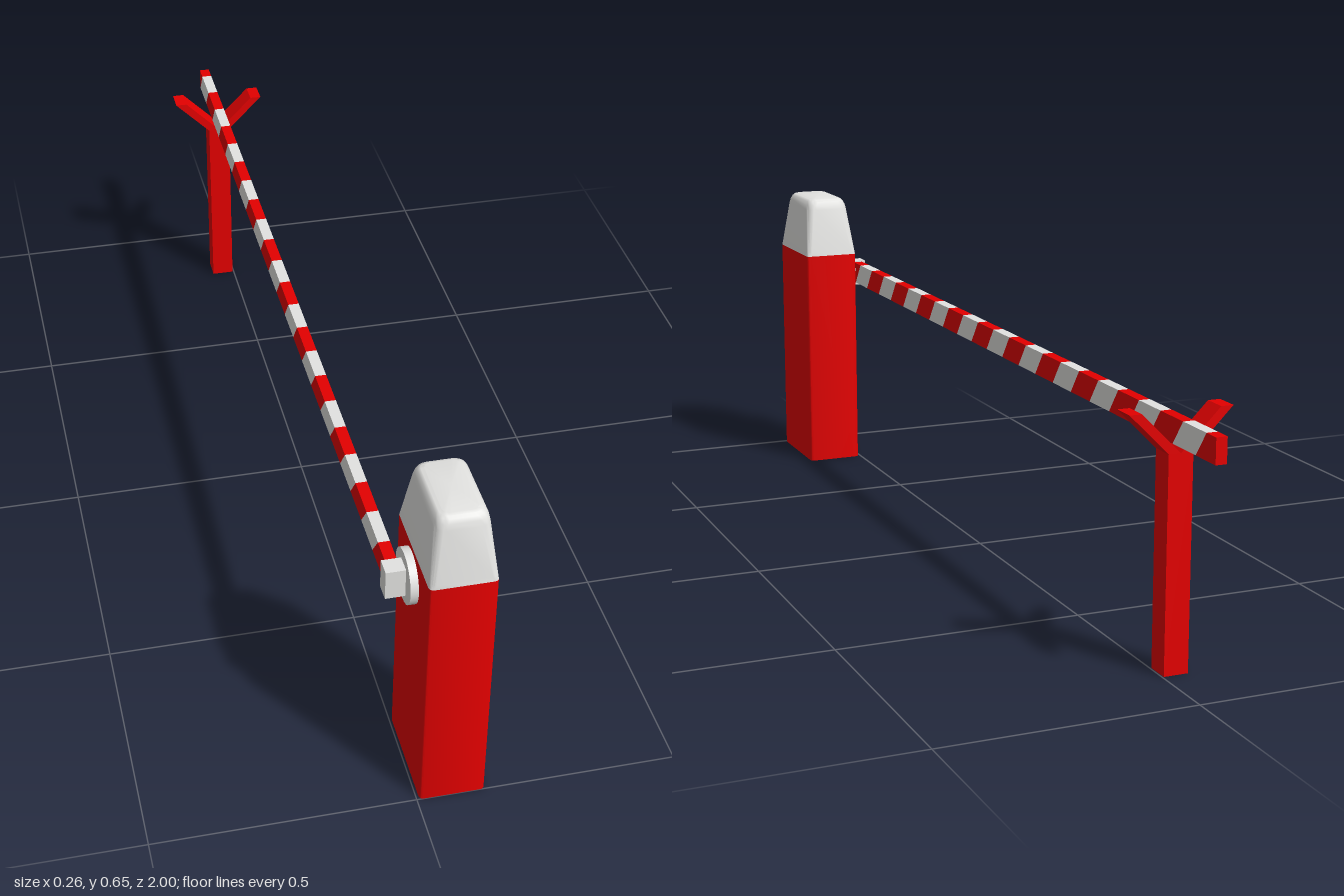
import * as THREE from 'three';
import { toCreasedNormals } from 'three/addons/utils/BufferGeometryUtils.js';

const red = new THREE.MeshStandardMaterial({ color: 0xe40000 });
red.name = 'signal red';
const grey = new THREE.MeshStandardMaterial({ color: 0xe3e3e1 });
grey.name = 'light grey';

// Outline of a rounded rectangle as [x, z] points
function roundedRect(hx, hz, r, steps = 5) {
  const pts = [];
  [[1, 1], [-1, 1], [-1, -1], [1, -1]].forEach(([sx, sz], q) => {
    for (let i = 0; i <= steps; i++) {
      const a = (q + i / steps) * Math.PI / 2;
      pts.push([sx * (hx - r) + r * Math.cos(a), sz * (hz - r) + r * Math.sin(a)]);
    }
  });
  return pts;
}

// Closed solid through rounded rectangles [y, halfX, halfZ, radius], bottom to top
function loft(sections) {
  const pos = [], idx = [];
  const rings = sections.map(([y, hx, hz, r]) => roundedRect(hx, hz, r).map(([x, z]) => [x, y, z]));
  const n = rings[0].length;
  rings.forEach(ring => ring.forEach(p => pos.push(...p)));
  for (let k = 0; k < rings.length - 1; k++) {
    for (let i = 0; i < n; i++) {
      const j = (i + 1) % n, a = k * n, b = a + n;
      idx.push(a + i, b + i, b + j, a + i, b + j, a + j);
    }
  }
  const last = (rings.length - 1) * n, c = rings.length * n;
  pos.push(0, sections[0][0], 0, 0, sections.at(-1)[0], 0);
  for (let i = 0; i < n; i++) {
    const j = (i + 1) % n;
    idx.push(c, i, j, c + 1, last + j, last + i);
  }
  const g = new THREE.BufferGeometry();
  g.setAttribute('position', new THREE.Float32BufferAttribute(pos, 3));
  g.setIndex(idx);
  return toCreasedNormals(g, 0.6);
}

export function createModel() {
  const model = new THREE.Group();
  model.name = 'barrierGate';
  const add = (name, geo, mat, x = 0, y = 0, z = 0, parent = model) => {
    const m = new THREE.Mesh(geo, mat);
    m.name = name;
    m.position.set(x, y, z);
    parent.add(m);
  };

  // Cabinet and its tapered hood
  const cx = 0.0675, cz = 0.893;
  add('cabinet', loft([[0, 0.0625, 0.107, 0.009], [0.515, 0.0625, 0.107, 0.009]]), red, cx, 0, cz);
  add('hood', loft([
    [0.515, 0.0625, 0.107, 0.009],
    [0.525, 0.0615, 0.106, 0.012],
    [0.625, 0.0505, 0.086, 0.02],
    [0.636, 0.048, 0.083, 0.02],
    [0.644, 0.044, 0.079, 0.019],
    [0.6485, 0.039, 0.074, 0.017],
    [0.65, 0.033, 0.068, 0.014],
  ]), grey, cx, 0, cz);

  // Pivot disc and the clamp that holds the boom
  const disc = new THREE.CylinderGeometry(0.052, 0.052, 0.016, 40).rotateZ(Math.PI / 2);
  add('pivotDisc', disc, grey, -0.002, 0.453, 0.886);
  add('boomClamp', new THREE.BoxGeometry(0.037, 0.06, 0.035), grey, -0.0285, 0.452, 0.887);

  // Boom: slanted red and grey blocks; the slant is mirrored so both sides read alike
  const boom = new THREE.Group();
  boom.name = 'boom';
  model.add(boom);
  const pitch = 0.085, slant = 0.037, count = 23, halfWidth = 0.011, zBack = -1, zFront = 0.871;
  const edge = (k, drop) => {
    if (k === 0) return zBack;
    if (k === count) return zFront;
    return Math.max(zBack, -0.966 + (k - 1) * pitch + drop);
  };
  for (const side of [1, -1]) {
    for (let k = 0; k < count; k++) {
      const g = new THREE.BoxGeometry(halfWidth, 0.049, 1);
      const p = g.attributes.position;
      for (let i = 0; i < p.count; i++) {
        p.setZ(i, edge(p.getZ(i) > 0 ? k + 1 : k, p.getY(i) > 0 ? 0 : side * slant));
      }
      g.computeVertexNormals();
      add('boomStripe', g, k % 2 ? grey : red, -0.0285 + side * halfWidth / 2, 0.4545, 0, boom);
    }
  }

  // Forked rest post, one outline extruded through its depth
  const half = [[0.0245, 0], [0.0245, 0.415], [0.1025, 0.493], [0.078, 0.493]];
  const outline = [...half, [0, 0.415], ...half.map(([x, y]) => [-x, y]).reverse()];
  const shape = new THREE.Shape(outline.map(([x, y]) => new THREE.Vector2(x, y)));
  const post = new THREE.ExtrudeGeometry(shape, { depth: 0.049, bevelEnabled: false });
  add('restPost', post, red, -0.0275, 0, -0.858);

  return model;
}
